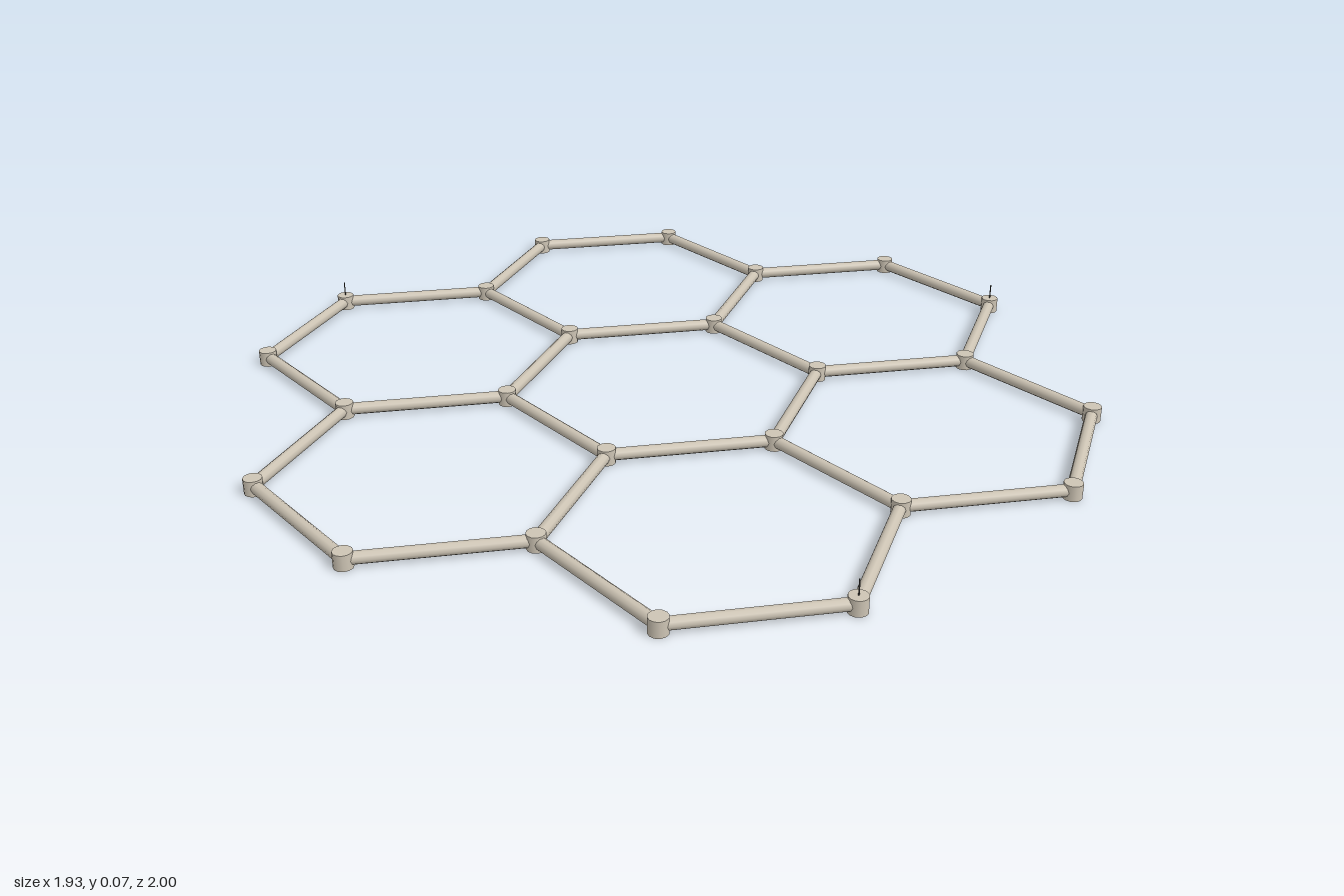
import * as THREE from 'three';

const S = 0.377;                 // hexagon side
const NODE_R = 0.021, NODE_H = 0.036, ROD_R = 0.014;
const MID_Y = NODE_H / 2;

export function createModel() {
  const model = new THREE.Group();
  model.name = 'honeycombFrame';
  const beige = new THREE.MeshStandardMaterial({ color: 0xcdc4b4 });
  beige.name = 'warm beige';
  const dark = new THREE.MeshStandardMaterial({ color: 0x4a4843 });
  dark.name = 'dark pin';

  const add = (geometry, material, name, x, y, z) => {
    const mesh = new THREE.Mesh(geometry, material);
    mesh.name = name;
    mesh.position.set(x, y, z);
    model.add(mesh);
    return mesh;
  };

  // one central cell and six neighbours
  const centres = [[0, 0]];
  for (let i = 0; i < 6; i++) {
    const a = Math.PI / 6 + i * Math.PI / 3;
    centres.push([Math.cos(a) * S * Math.sqrt(3), Math.sin(a) * S * Math.sqrt(3)]);
  }

  const nodeGeo = new THREE.CylinderGeometry(NODE_R, NODE_R, NODE_H, 12);
  const rodGeo = new THREE.CylinderGeometry(ROD_R, ROD_R, S, 10);
  rodGeo.rotateZ(Math.PI / 2);
  const used = new Set();
  const once = (kind, x, z) => {
    const key = kind + Math.round(x * 100) + ',' + Math.round(z * 100);
    return used.has(key) ? false : !!used.add(key);
  };

  for (const [cx, cz] of centres) {
    for (let i = 0; i < 6; i++) {
      // corner joints, shared between cells
      const a = i * Math.PI / 3;
      const x = cx + S * Math.cos(a), z = cz + S * Math.sin(a);
      if (once('node', x, z)) add(nodeGeo, beige, 'joint', x, MID_Y, z);

      // rods along the cell sides
      const m = a + Math.PI / 6, d = S * Math.sqrt(3) / 2;
      const rx = cx + d * Math.cos(m), rz = cz + d * Math.sin(m);
      if (once('rod', rx, rz)) add(rodGeo, beige, 'rod', rx, MID_Y, rz).rotation.y = Math.PI / 2 - m;
    }
  }

  // three hair-thin pins on outer joints
  const pinGeo = new THREE.CylinderGeometry(0.0015, 0.0015, 0.04, 6);
  const h = S * Math.sqrt(3) / 2;
  for (const [x, z] of [[-2.5 * S, h], [2.5 * S, h], [0.5 * S, -3 * h]]) {
    add(pinGeo, dark, 'pin', x, 0.052, z);
  }
  return model;
}
